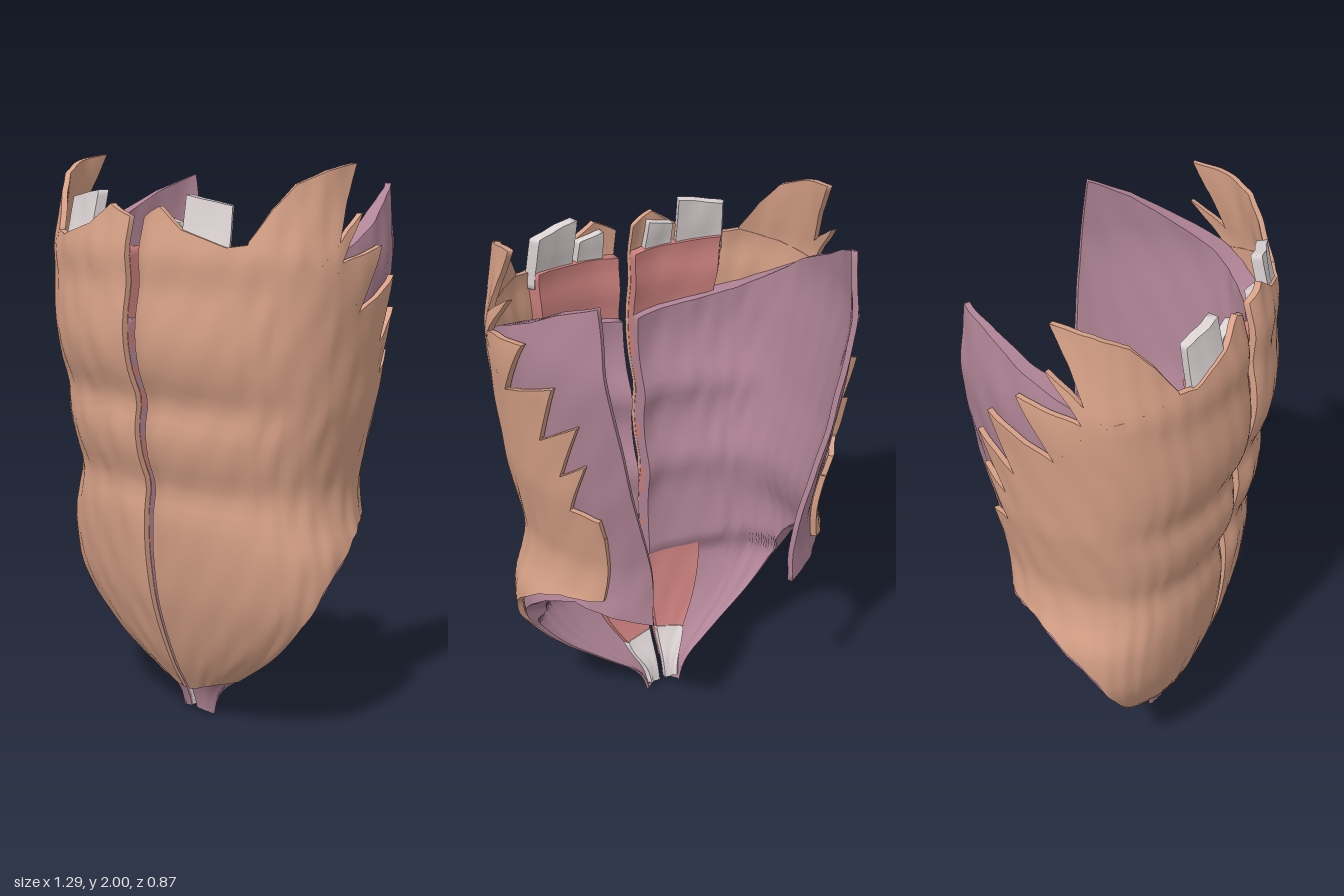
import * as THREE from 'three';
import { mergeGeometries } from 'three/addons/utils/BufferGeometryUtils.js';

// Values listed every 0.1 of height, joined by a smooth curve
function table(values) {
  const curve = new THREE.SplineCurve(values.map((v, i) => new THREE.Vector2(i / 10, v)));
  return (y) => curve.getPoint(THREE.MathUtils.clamp(y / 2, 0, 1)).y;
}
const front = table([.10, .13, .19, .235, .27, .30, .32, .335, .345, .335, .37, .385, .37, .41, .43, .425, .41, .415, .39, .37, .36]);
const width = table([.10, .15, .30, .44, .53, .585, .60, .595, .56, .545, .56, .58, .60, .61, .62, .63, .64, .64, .625, .61, .60]);
const smooth = THREE.MathUtils.smoothstep;
const lerp = THREE.MathUtils.lerp;

// Point on the trunk wall: angle from the midline, height, depth below the skin
function wallPoint(deg, y, depth, side) {
  const a = THREE.MathUtils.degToRad(deg);
  const s = Math.sin(a), c = Math.cos(a);
  const d = depth * Math.min(1, 0.35 + y * 1.2)
    + 0.003 * Math.sin(deg * 0.5 - y * 14) * Math.sin(y * 9 + deg * 0.13);
  const x0 = 0.012 + 0.012 * y;
  const x = x0 + Math.max(0.01, width(y) - x0 - d) * s;
  const back = lerp(0.47, 0.68, smooth(y, 0.6, 1.9));
  const groove = 0.03 * smooth(y, 0.5, 0.9) * Math.exp(-((x / 0.06) ** 2));
  const z = c >= 0 ? (front(y) - d - groove) * Math.pow(c, 0.8) : (back - d) * c;
  return new THREE.Vector3(side * x, y, z);
}

// Grid of points to a smooth surface
function sheet(grid, flip) {
  const m = grid[0].length, index = [];
  for (let i = 0; i < grid.length - 1; i++) {
    for (let j = 0; j < m - 1; j++) {
      const a = i * m + j, b = a + m, c = b + 1, d = a + 1;
      if (flip) index.push(a, c, b, a, d, c);
      else index.push(a, b, c, a, c, d);
    }
  }
  const g = new THREE.BufferGeometry().setFromPoints(grid.flat());
  g.setIndex(index);
  g.computeVertexNormals();
  return g;
}

// Solid layer spanned by ribs [bottom angle, bottom y, top angle, top y]
function layer(ribs, outer, inner, side, rows = 40, steps = 6) {
  const cols = [];
  for (let r = 0; r < ribs.length - 1; r++) {
    for (let k = r ? 1 : 0; k <= steps; k++) {
      cols.push(ribs[r].map((v, n) => lerp(v, ribs[r + 1][n], k / steps)));
    }
  }
  const makeGrid = (depth) => cols.map(([a0, y0, a1, y1]) => Array.from({ length: rows + 1 }, (_, j) => {
    const a = lerp(a0, a1, j / rows), y = lerp(y0, y1, j / rows);
    return wallPoint(a, y, depth(a, y), side);
  }));
  const out = makeGrid(outer), inn = makeGrid(inner);
  const last = cols.length - 1, loop = [];
  for (let i = 0; i < last; i++) loop.push([i, 0]);
  for (let j = 0; j < rows; j++) loop.push([last, j]);
  for (let i = last; i > 0; i--) loop.push([i, rows]);
  for (let j = rows; j >= 0; j--) loop.push([0, j]);
  const rim = loop.map(([i, j]) => [inn[i][j].clone(), out[i][j].clone()]);
  return mergeGeometries([sheet(out, side < 0), sheet(inn, side > 0), sheet(rim, side < 0)]);
}

const at = (d) => () => d;

const OUTER = [
  [0, .10, 0, 1.82], [14, .11, 8, 1.86], [36, .14, 18, 1.79], [60, .17, 36, 1.74],
  [64, .30, 44, 1.75], [70, .45, 53, 1.73], [80, .58, 81, 1.68], [90, .66, 93, 1.52],
  [102, .73, 109, 1.40], [112, .76, 116, 1.28], [122, .77, 119, 1.15], [131, .78, 131, 1.05],
];
// Teeth along the rear upper edge: two base corners and a tip
const TEETH = [
  [74, 1.68, 82, 1.66, 95, 1.84], [80, 1.68, 93, 1.52, 104, 1.73],
  [93, 1.52, 109, 1.40, 116, 1.62], [109, 1.40, 116, 1.28, 124, 1.50],
  [116, 1.28, 119, 1.15, 126, 1.35], [119, 1.15, 131, 1.05, 130, 1.13],
];
const SHOULDER = [
  [43, 1.72, 44, 1.76], [52, 1.69, 53, 1.86], [62, 1.67, 64, 1.94], [72, 1.67, 80, 1.98], [80, 1.68, 94, 2.0],
];
const INNER = [
  [0, .02, 0, 1.48], [50, 0, 18, 1.50], [62, .15, 32, 1.52], [66, .28, 45, 1.55],
  [72, .43, 60, 1.60], [82, .55, 76, 1.66], [92, .63, 92, 1.74], [104, .70, 104, 1.80],
  [118, .74, 114, 1.86], [135, .71, 121, 1.89], [152, .68, 128, 1.92],
];
// The inner sheet thins below the navel and towards the back
const innerDepth = (a, y) =>
  lerp(lerp(0.05, 0.1, smooth(y, 0.47, 0.54)), 0.045, smooth(a, 85, 130));

function buildHalf(side) {
  const half = new THREE.Group();
  half.name = side > 0 ? 'leftHalf' : 'rightHalf';
  const add = (name, color, geometry) => {
    const mesh = new THREE.Mesh(geometry, new THREE.MeshStandardMaterial({ color, side: THREE.DoubleSide }));
    mesh.name = name;
    half.add(mesh);
  };
  const tan = 0xd6a086, mauve = 0xb08496, red = 0xc97f7c, white = 0xdcd3d3;

  // Outer muscle sheet with its toothed border
  add('outerSheet', tan, layer(OUTER, at(0), at(0.022), side));
  add('shoulderPoint', tan, layer(SHOULDER, at(0), at(0.02), side, 14));
  const teeth = TEETH.map(([a0, y0, a1, y1, ta, ty]) =>
    layer([[a0, y0, ta - 0.5, ty], [a1, y1, ta, ty]], at(0), at(0.02), side, 10));
  add('edgeTeeth', tan, mergeGeometries(teeth));

  // Deep sheet wrapping round to the back
  add('innerSheet', mauve, layer(INNER, at(0.025), innerDepth, side));

  // Straight front muscle, upper and lower runs
  add('upperFrontMuscle', red, layer([[0, .5, 0, 1.72], [25, .5, 37, 1.74]], at(0.024), at(0.065), side));
  add('lowerFrontMuscle', red, layer([[0, .2, 0, .55], [27, .19, 26, .54]], at(0.045), at(0.085), side, 16));

  // Pale tendons at both ends
  add('lowerTendon', white, layer([[0, .02, 0, .22], [45, .03, 27, .2]], at(0.045), at(0.09), side, 12));
  add('upperTendon', white, layer([[18, 1.68, 18, 1.9], [37, 1.68, 37, 1.87]], at(0.012), at(0.05), side, 10));
  add('smallTendon', white, layer([[5, 1.68, 6, 1.83], [16, 1.68, 16, 1.81]], at(0.024), at(0.055), side, 8));
  return half;
}

export function createModel() {
  const model = new THREE.Group();
  model.name = 'abdominalWall';
  model.add(buildHalf(1), buildHalf(-1));
  return model;
}
